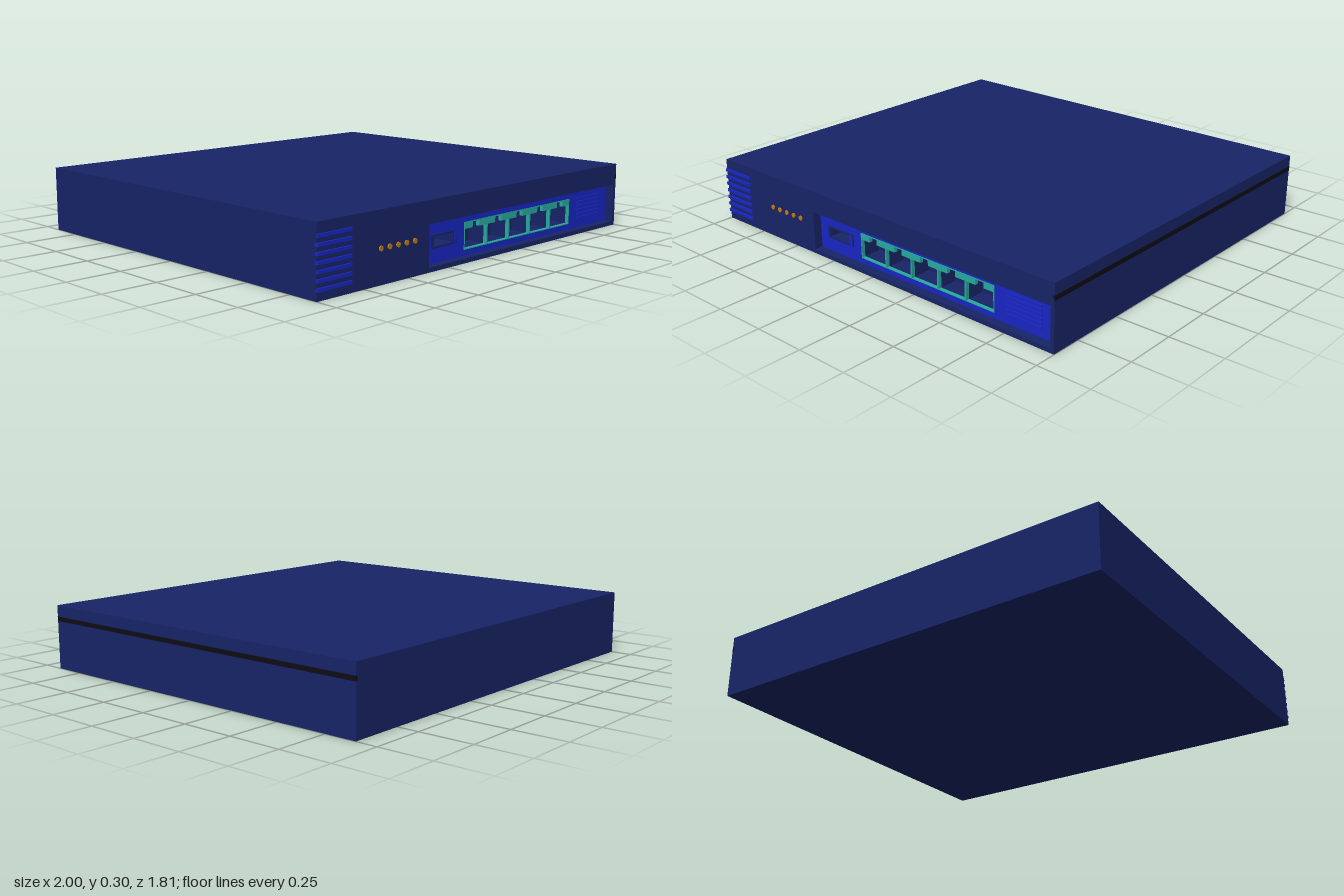
import * as THREE from 'three';

const NAVY = 0x182468, BLUE = 0x1826c4, TEAL = 0x26ada0, AMBER = 0xc47d12, BLACK = 0x0c0c14;
const mats = {};
const mat = (color) => (mats[color] ??= new THREE.MeshStandardMaterial({ color }));

// Rectangle given by its edges, as shape or hole
function rect(x0, x1, y0, y1, Type = THREE.Shape) {
  return new Type([[x0, y0], [x1, y0], [x1, y1], [x0, y1]].map((p) => new THREE.Vector2(...p)));
}

export function createModel() {
  const model = new THREE.Group();
  const BACK = -0.9, FRONT = 0.897, PANEL = 0.857, DEEP = 0.76;

  const add = (parent, name, geo, color) => {
    const mesh = new THREE.Mesh(geo, mat(color));
    mesh.name = name;
    parent.add(mesh);
    return mesh;
  };
  const box = (parent, name, color, x0, x1, y0, y1, z0, z1) => {
    const mesh = add(parent, name, new THREE.BoxGeometry(x1 - x0, y1 - y0, z1 - z0), color);
    mesh.position.set((x0 + x1) / 2, (y0 + y1) / 2, (z0 + z1) / 2);
    return mesh;
  };
  const plate = (parent, name, color, shape, z0, z1) => {
    const geo = new THREE.ExtrudeGeometry(shape, { depth: z1 - z0, bevelEnabled: false });
    const mesh = add(parent, name, geo, color);
    mesh.position.z = z0;
    return mesh;
  };

  // Case: solid rear block and a front rim around the recess
  box(model, 'case', NAVY, -1, 0.999, 0, 0.3, BACK, DEEP);
  const rim = rect(-1, 0.999, 0, 0.3);
  rim.holes.push(rect(-0.375, 0.98, 0.02, 0.2, THREE.Path));
  plate(model, 'frontRim', NAVY, rim, DEEP, FRONT);
  box(model, 'sideStripe', BLACK, 0.99, 1, 0.226, 0.247, BACK, FRONT);

  // Recessed panel with openings for the slot and the jack row
  const jackX = -0.107, jackW = 0.1545, jackCount = 5;
  const panel = rect(-0.375, 0.98, 0.02, 0.2);
  panel.holes.push(
    rect(-0.32, -0.157, 0.083, 0.14, THREE.Path),
    rect(jackX, jackX + jackW * jackCount, 0.045, 0.165, THREE.Path));
  plate(model, 'portPanel', BLUE, panel, DEEP, PANEL);

  // Module slot with a collar and a release tab
  const slot = new THREE.Group();
  slot.name = 'moduleSlot';
  model.add(slot);
  const collar = rect(-0.32, -0.157, 0.083, 0.14);
  collar.holes.push(rect(-0.306, -0.18, 0.091, 0.132, THREE.Path));
  plate(slot, 'slotCollar', NAVY, collar, DEEP, PANEL + 0.004);
  box(slot, 'slotTab', BLUE, -0.178, -0.162, 0.086, 0.137, PANEL, PANEL + 0.006);

  // Network jacks: thin frame, open socket with a latch notch at the top
  for (let i = 0; i < jackCount; i++) {
    const x0 = jackX + i * jackW, x1 = x0 + jackW, c = (x0 + x1) / 2, t = 0.004;
    const frame = rect(x0, x1, 0.045, 0.165);
    frame.holes.push(new THREE.Path([
      [x0 + t, 0.049], [x1 - t, 0.049], [x1 - t, 0.135], [c + 0.022, 0.135],
      [c + 0.022, 0.16], [c - 0.022, 0.16], [c - 0.022, 0.135], [x0 + t, 0.135],
    ].map((p) => new THREE.Vector2(...p))));
    plate(model, 'networkJack', TEAL, frame, PANEL - 0.015, PANEL + 0.002);
    // Dark liner behind the frame
    const liner = rect(x0, x1, 0.045, 0.165);
    liner.holes.push(new THREE.Path(frame.holes[0].getPoints()));
    plate(model, 'jackLiner', NAVY, liner, DEEP, PANEL - 0.015);
  }

  // Grille bars on the panel
  for (let i = 0; i < 6; i++) {
    const y = 0.06 + i * 0.019;
    box(model, 'panelGrilleBar', BLUE, 0.73, 0.91, y, y + 0.009, PANEL - 0.01, PANEL + 0.006);
  }

  // Ribs at the left end of the front
  for (let i = 0; i < 7; i++) {
    const y = 0.044 + i * 0.034;
    box(model, 'frontRib', BLUE, -1, -0.822, y - 0.007, y + 0.007, FRONT - 0.01, 0.905);
  }

  // Status lights
  for (let i = 0; i < 5; i++) {
    const light = add(model, 'statusLight', new THREE.CylinderGeometry(0.011, 0.011, 0.014, 20), AMBER);
    light.rotation.x = Math.PI / 2;
    light.position.set(-0.66 + i * 0.049, 0.147, FRONT - 0.002);
  }
  return model;
}
